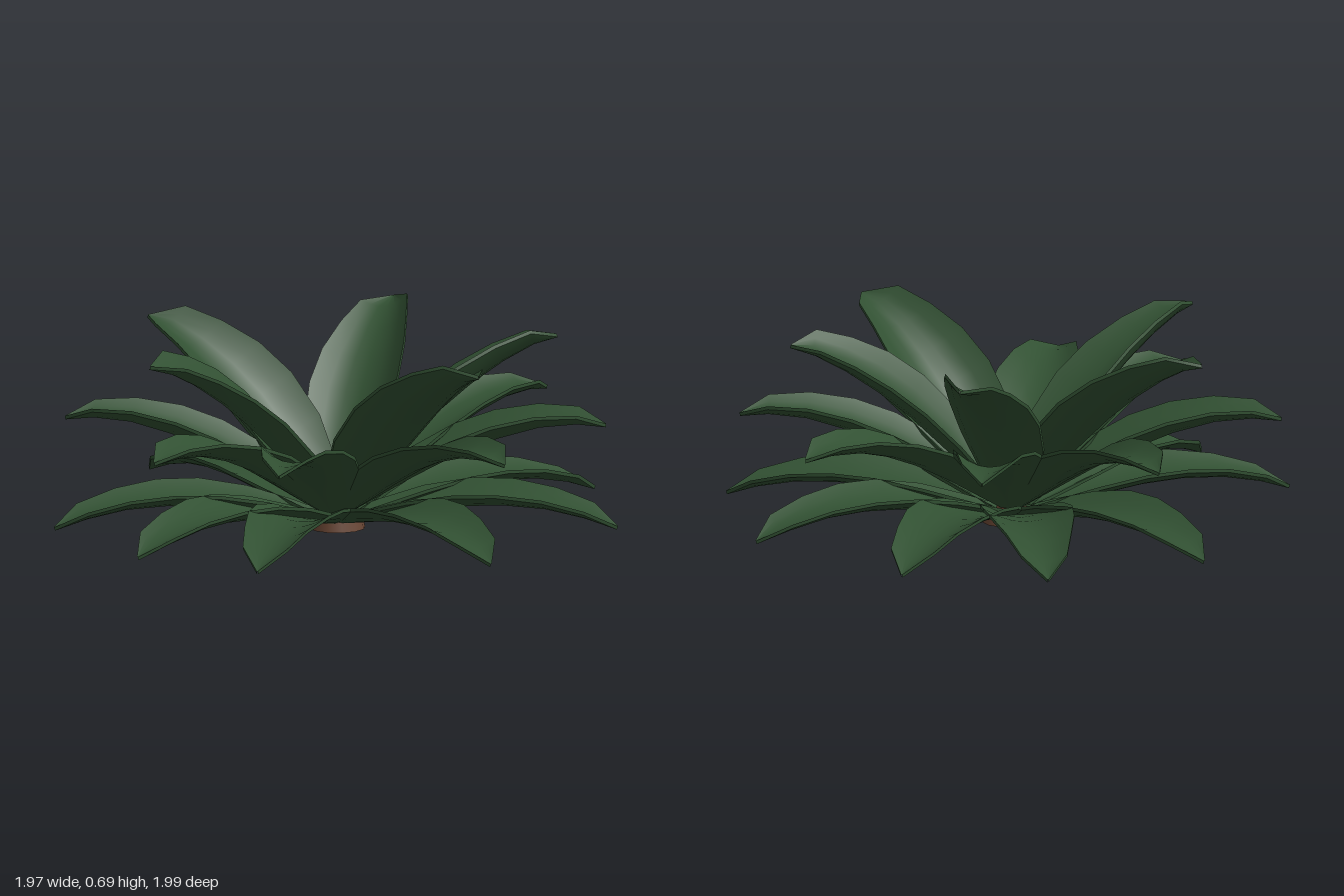
import * as THREE from 'three';
import { mergeGeometries } from 'three/addons/utils/BufferGeometryUtils.js';

// Half width of every leaf at fractions of its length
const STATIONS = [[0.03, 0.052], [0.14, 0.1], [0.29, 0.143], [0.45, 0.155], [0.6, 0.143], [0.75, 0.113], [0.89, 0.08], [1, 0.002]];
const ACROSS = 6;
const THICKNESS = 0.012;

// Each tier: midrib profile as [distance from centre, height], cup depth, roll about the midrib,
// and leaf headings in degrees from +x towards +z
const TIERS = [
  { name: 'lowerLeaf', width: 1, cup: 0.34, roll: 0, length: 1,
    rib: [[0, 0.026], [0.2, 0.067], [0.4, 0.107], [0.6, 0.124], [0.83, 0.105], [1, 0.052]],
    headings: [-90, -55.5, -26, 13.5, 53, 97.5, 145.6, 173, 206] },
  { name: 'middleLeaf', width: 1, cup: 0.42, roll: 0, length: 0.935,
    rib: [[0, 0.04], [0.19, 0.15], [0.38, 0.258], [0.62, 0.355], [0.8, 0.388], [0.935, 0.377]],
    headings: [-81.3, -42, 1.2, 43.3, 91.2, 142, 172, 224.6] },
  { name: 'upperLeaf', width: 1.08, cup: 0.46, roll: 12, length: 0.77,
    rib: [[0, 0.05], [0.12, 0.17], [0.25, 0.31], [0.41, 0.46], [0.57, 0.575], [0.68, 0.635], [0.77, 0.66]],
    headings: [-35, 32, 90, 186, 253] },
];

// Smooth surface through rows of points
function surface(rows) {
  const n = rows[0].length, index = [];
  for (let i = 0; i < rows.length - 1; i++) {
    for (let j = 0; j < n - 1; j++) {
      const a = i * n + j, b = a + n;
      index.push(a, a + 1, b, b, a + 1, b + 1);
    }
  }
  const geo = new THREE.BufferGeometry().setFromPoints(rows.flat());
  geo.setIndex(index);
  geo.computeVertexNormals();
  return geo;
}

// Cupped leaf growing along +x: upper face, under face and two rims
function leafGeometry({ rib, width, cup, roll, length }) {
  const curve = new THREE.CatmullRomCurve3(rib.map(([r, y]) => new THREE.Vector3(r, y, 0)));
  const samples = curve.getPoints(200);
  const upper = [], under = [];
  for (const [t, w] of STATIONS) {
    let k = samples.findIndex((p) => p.x >= t * length - 1e-4);
    if (k < 0) k = 200;
    const tangent = samples[Math.min(k + 1, 200)].clone().sub(samples[Math.max(k - 1, 0)]).normalize();
    // Cross-section frame, rolled so the +z side stands higher
    const angle = -THREE.MathUtils.degToRad(roll);
    const normal = new THREE.Vector3(-tangent.y, tangent.x, 0).applyAxisAngle(tangent, angle);
    const side = new THREE.Vector3(0, 0, 1).applyAxisAngle(tangent, angle);
    const half = w * width;
    const top = [], low = [];
    for (let j = 0; j <= ACROSS; j++) {
      const s = (j / ACROSS) * 2 - 1;
      const p = samples[k].clone().addScaledVector(normal, cup * half * s * s).addScaledVector(side, s * half);
      top.push(p);
      low.push(p.clone().addScaledVector(normal, -THICKNESS));
    }
    upper.push(top);
    under.push(low);
  }
  return mergeGeometries([
    surface(upper),
    surface(under.map((row) => [...row].reverse())),
    surface(upper.map((row, i) => [under[i][0], row[0]])),
    surface(upper.map((row, i) => [row[ACROSS], under[i][ACROSS]])),
  ]);
}

export function createModel() {
  const model = new THREE.Group();
  model.name = 'rosettePlant';
  const green = new THREE.MeshStandardMaterial({ color: 0x315032 });
  green.name = 'leafGreen';
  const brown = new THREE.MeshStandardMaterial({ color: 0x684533 });
  brown.name = 'stemBrown';

  // Three tiers of leaves
  for (const tier of TIERS) {
    const geo = leafGeometry(tier);
    tier.headings.forEach((deg, i) => {
      const leaf = new THREE.Mesh(geo, green);
      leaf.name = `${tier.name}${i + 1}`;
      leaf.rotation.y = -THREE.MathUtils.degToRad(deg);
      model.add(leaf);
    });
  }

  // Short woody stem with a small crown between the leaf bases
  const stem = new THREE.Mesh(new THREE.CylinderGeometry(0.09, 0.098, 0.042, 12), brown);
  stem.name = 'stem';
  stem.position.set(0.007, 0.021, 0);
  const crown = new THREE.Mesh(new THREE.CylinderGeometry(0.045, 0.05, 0.05, 7), brown);
  crown.name = 'stemCrown';
  crown.position.y = 0.065;
  model.add(stem, crown);
  return model;
}
